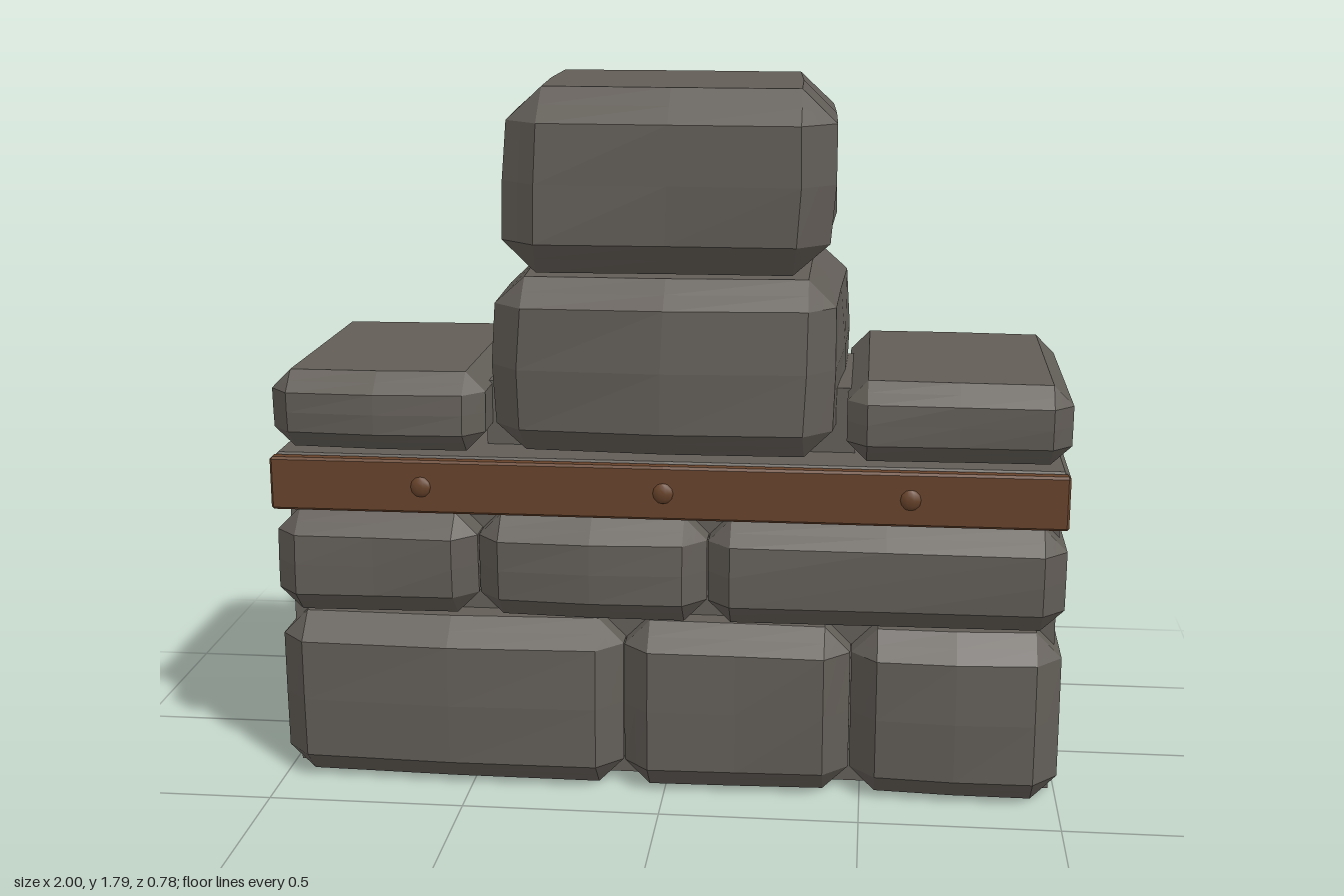
import * as THREE from 'three';

const stone = new THREE.MeshStandardMaterial({ color: 0x625d57 });
stone.name = 'warm grey stone';
const wood = new THREE.MeshStandardMaterial({ color: 0x66422a });
wood.name = 'brown trim';

// Chamfered block between two corners, with gently uneven faces
function blockGeometry([x0, x1], [y0, y1], [z0, z1], c, warpX, warpZ, seed) {
  const h = [(x1 - x0) / 2, (y1 - y0) / 2, (z1 - z0) / 2];
  const mid = [(x0 + x1) / 2, (y0 + y1) / 2, (z0 + z1) / 2];
  const geo = new THREE.BoxGeometry(2, 2, 2, 4, 4, 4);
  const pos = geo.attributes.position;
  for (let i = 0; i < pos.count; i++) {
    const g = [pos.getX(i), pos.getY(i), pos.getZ(i)].map((v) => Math.round(v * 2));
    const extremes = g.filter((v) => Math.abs(v) === 2).length;
    // Edges drop by half the chamfer and corners by two thirds, so the bevels stay flat
    const drop = [0, 0, c / 2, (2 * c) / 3][extremes];
    const p = g.map((v, k) => {
      const a = Math.abs(v);
      return Math.sign(v) * (a === 2 ? h[k] - drop : a === 1 ? h[k] - c : 0);
    });
    const u = p.map((v, k) => v / h[k]);
    // Faces bow outwards and lean slightly
    const bowX = 1 - 0.5 * (u[1] * u[1] + u[2] * u[2]);
    const bowZ = 1 - 0.5 * (u[0] * u[0] + u[1] * u[1]);
    const dx = warpX * (u[0] * (bowX - 0.6) + 0.5 * Math.sin(seed + 2 * u[2] + u[1]));
    const dz = warpZ * (u[2] * (bowZ - 0.6) + 0.5 * Math.sin(seed * 1.7 + 2 * u[0] + u[1]));
    pos.setXYZ(i, mid[0] + p[0] + dx, mid[1] + p[1], mid[2] + p[2] + dz);
  }
  const flat = geo.toNonIndexed();
  flat.computeVertexNormals();
  return flat;
}

export function createModel() {
  const model = new THREE.Group();
  model.name = 'stoneWall';
  const add = (name, geo, mat, x = 0, y = 0, z = 0) => {
    const mesh = new THREE.Mesh(geo, mat);
    mesh.name = name;
    mesh.position.set(x, y, z);
    model.add(mesh);
    return mesh;
  };

  // Stones: name, x range, y range, z range, chamfer, warp in x, warp in z
  const wall = [-0.378, 0.378];
  const upper = [-0.368, 0.362];
  const stones = [
    ['baseStoneRight', [-1, -0.11], [0.003, 0.447], wall, 0.065, 0, 0.014],
    ['baseStoneMiddle', [-0.107, 0.47], [0.003, 0.447], wall, 0.065, 0, 0.014],
    ['baseStoneLeft', [0.473, 1], [0.003, 0.447], wall, 0.065, 0, 0.014],
    ['courseStoneRight', [-1, -0.48], [0.455, 0.725], wall, 0.058, 0, 0.014],
    ['courseStoneMiddle', [-0.477, 0.105], [0.455, 0.725], wall, 0.058, 0, 0.014],
    ['courseStoneLeft', [0.108, 1], [0.455, 0.725], wall, 0.058, 0, 0.014],
    ['capStoneRight', [-1, -0.455], [0.885, 1.087], upper, 0.05, 0, 0.014],
    ['capStoneLeft', [0.45, 1], [0.885, 1.087], upper, 0.05, 0, 0.014],
    ['merlonLowerStone', [-0.425, 0.43], [0.885, 1.33], upper, 0.068, 0.025, 0.02],
    ['merlonUpperStone', [-0.41, 0.405], [1.337, 1.793], upper, 0.082, 0.025, 0.022],
  ];
  stones.forEach(([name, x, y, z, c, wx, wz], i) =>
    add(name, blockGeometry(x, y, z, c, wx, wz, i * 1.9 + 0.7), stone));

  // Recessed core showing in the joints
  add('wallCore', new THREE.BoxGeometry(1.97, 0.70, 0.5), stone, 0, 0.355, 0);
  add('capCore', new THREE.BoxGeometry(0.94, 0.17, 0.42), stone, 0, 0.96, 0);
  add('merlonCore', new THREE.BoxGeometry(0.6, 0.2, 0.4), stone, 0, 1.33, 0);

  // Ledge with a trim board and studs on the front
  add('ledge', blockGeometry([-0.998, 0.998], [0.732, 0.878], [-0.388, 0.356], 0.015, 0, 0, 0), stone);
  add('trimBoard', blockGeometry([-0.996, 0.996], [0.737, 0.874], [0.345, 0.38], 0.006, 0, 0, 0), wood);
  const stud = new THREE.SphereGeometry(0.027, 10, 6);
  for (const x of [-0.61, 0, 0.61]) add('stud', stud, wood, x, 0.806, 0.378).scale.z = 0.5;

  return model;
}
